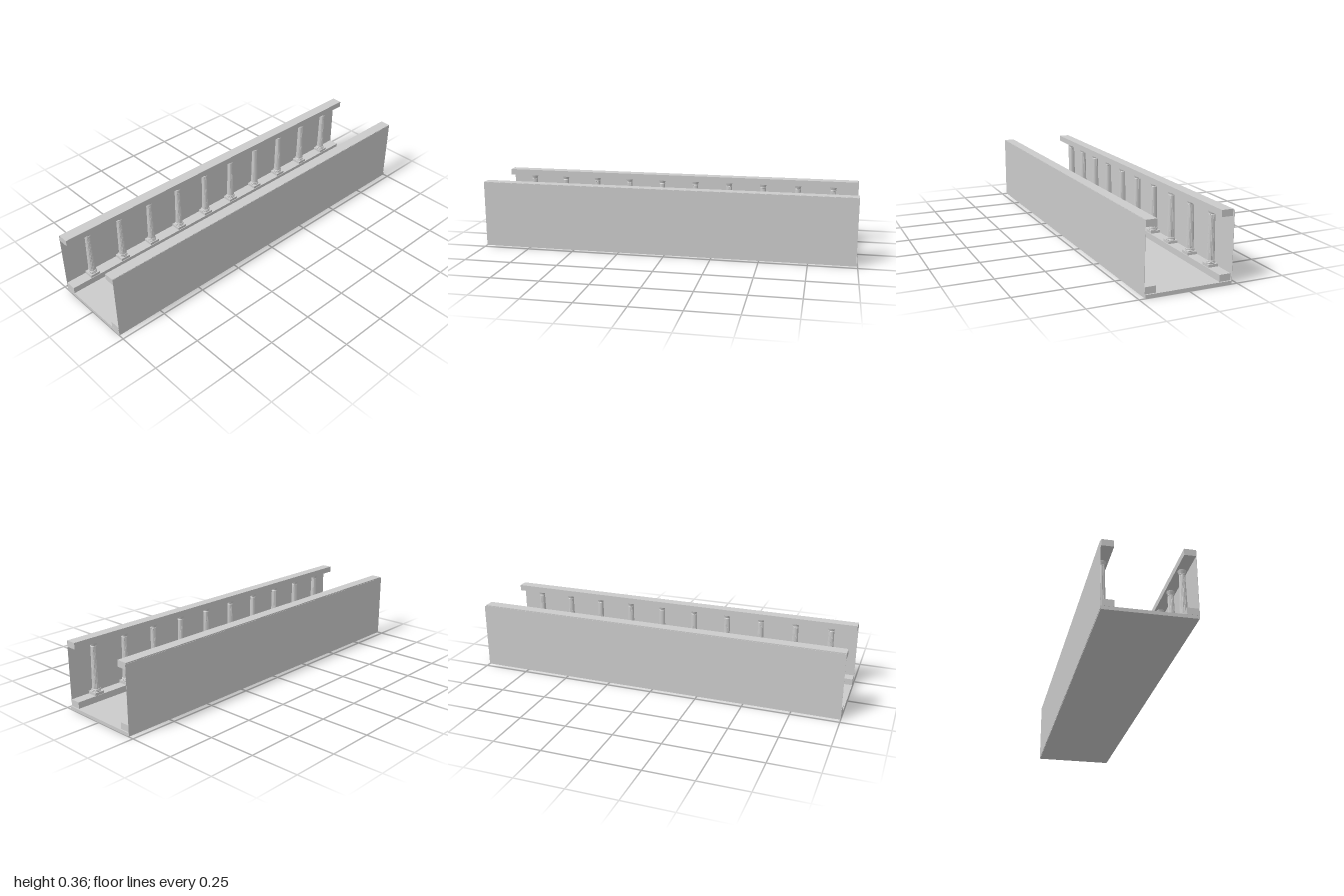
import * as THREE from 'three';
import { toCreasedNormals } from 'three/addons/utils/BufferGeometryUtils.js';

const material = new THREE.MeshStandardMaterial({ color: 0xcccccc });

// Box given by its lower and upper corners
function box(name, [x0, y0, z0], [x1, y1, z1]) {
  const geometry = new THREE.BoxGeometry(x1 - x0, y1 - y0, z1 - z0);
  geometry.translate((x0 + x1) / 2, (y0 + y1) / 2, (z0 + z1) / 2);
  const mesh = new THREE.Mesh(geometry, material);
  mesh.name = name;
  return mesh;
}

function lathe(points) {
  const profile = points.map(([r, y]) => new THREE.Vector2(r, y));
  return toCreasedNormals(new THREE.LatheGeometry(profile, 16), 0.6);
}

// Tapered shaft whose radius alternates between ridge and groove
function flutedShaft(bottom, top, rBottom, rTop) {
  const flutes = 16;
  const geometry = new THREE.CylinderGeometry(rTop, rBottom, top - bottom, flutes * 2, 1, true);
  geometry.translate(0, (top + bottom) / 2, 0);
  const p = geometry.attributes.position;
  for (let i = 0; i < p.count; i++) {
    const angle = Math.atan2(p.getX(i), p.getZ(i));
    const groove = 1 - 0.08 * Math.abs(Math.sin(angle * flutes / 2));
    p.setX(i, p.getX(i) * groove);
    p.setZ(i, p.getZ(i) * groove);
  }
  return toCreasedNormals(geometry, 0.6);
}

export function createModel() {
  const model = new THREE.Group();
  model.name = 'colonnade';

  // Floor slab and the thin outer walls
  model.add(box('floor', [-1, 0, -0.22], [1, 0.017, 0.22]));
  model.add(box('frontWall', [-1, 0.006, 0.2202], [0.993, 0.355, 0.2215]));
  model.add(box('backWall', [-1, 0.004, -0.2215], [1, 0.352, -0.2202]));

  // Column parts shared by both rows
  const parts = {
    plinth: new THREE.BoxGeometry(0.053, 0.014, 0.053).translate(0, 0.058, 0),
    base: lathe([[0.022, 0.065], [0.0235, 0.067], [0.0235, 0.070], [0.021, 0.073],
      [0.0228, 0.076], [0.0215, 0.080], [0.017, 0.081]]),
    shaft: flutedShaft(0.079, 0.302, 0.0197, 0.0148),
    capital: lathe([[0.013, 0.299], [0.0165, 0.301], [0.0145, 0.305],
      [0.0165, 0.311], [0.0205, 0.320], [0.0205, 0.323]]),
  };

  // Each side: lower kerb, upper beam and ten columns
  const sides = [
    { name: 'front', back: 0.164, front: 0.2195, axis: 0.193 },
    { name: 'back', back: -0.217, front: -0.159, axis: -0.189 },
  ];
  for (const { name, back, front, axis } of sides) {
    model.add(box(name + 'Kerb', [-1, 0.0175, back], [0.993, 0.051, front]));
    model.add(box(name + 'Beam', [-1, 0.323, back], [0.993, 0.356, front]));
    for (let i = 0; i < 10; i++) {
      const column = new THREE.Group();
      column.name = name + 'Column' + (i + 1);
      for (const [part, geometry] of Object.entries(parts)) {
        const mesh = new THREE.Mesh(geometry, material);
        mesh.name = part;
        column.add(mesh);
      }
      column.position.set(-0.864 + i * 0.192, 0, axis);
      model.add(column);
    }
  }
  return model;
}
